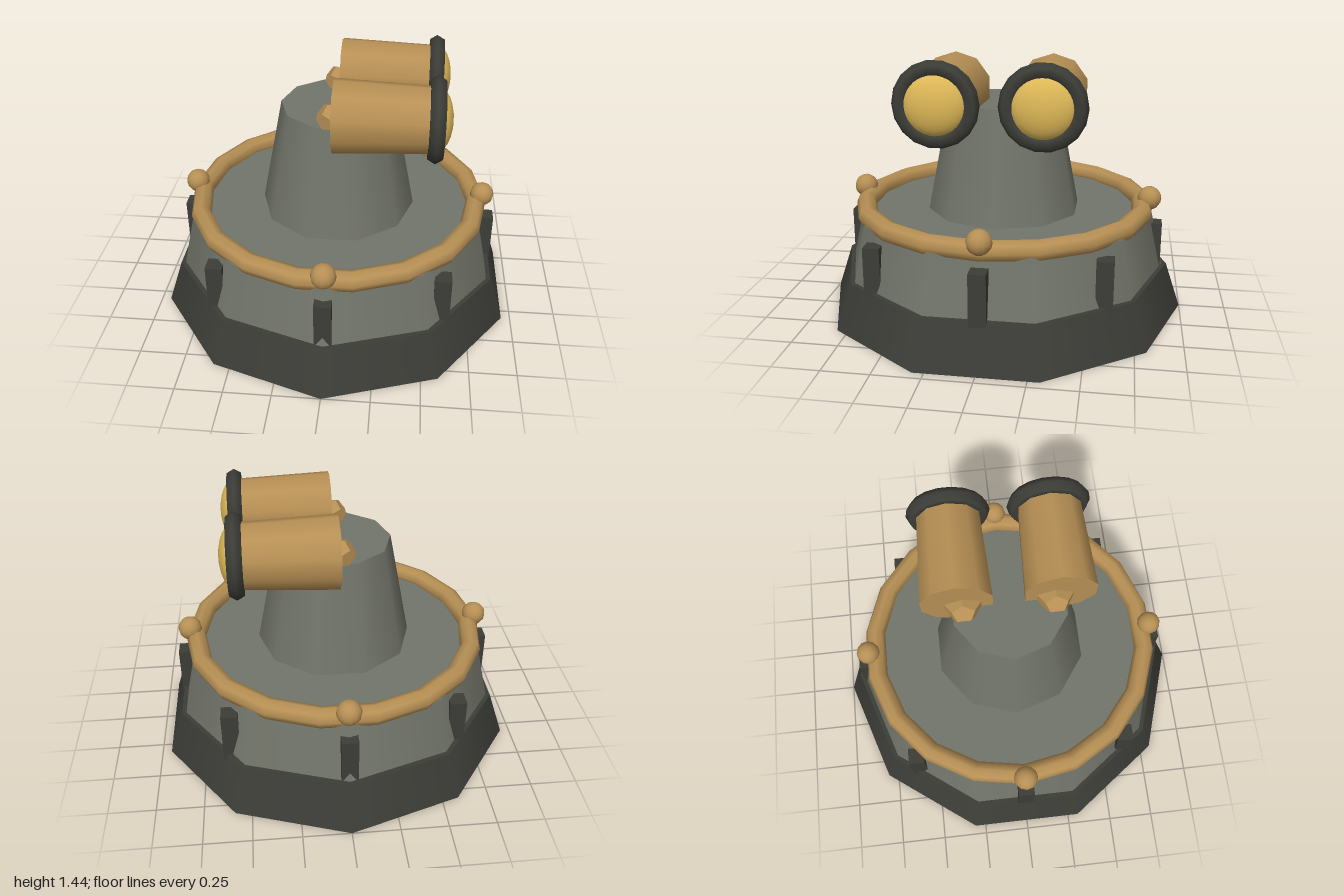
import * as THREE from 'three';

export function createModel() {
  const root = new THREE.Group();
  root.name = 'twinLampTurret';

  const mat = (name, color, flatShading = false) => {
    const m = new THREE.MeshStandardMaterial({ color, flatShading });
    m.name = name;
    return m;
  };
  const iron = mat('darkIron', 0x3c3d37);
  const stone = mat('greyStone', 0x72756a);
  const brass = mat('brass', 0xb68f54);
  const glass = mat('amberGlass', 0xdfb958);

  const add = (parent, name, geometry, material, x = 0, y = 0, z = 0) => {
    const mesh = new THREE.Mesh(geometry, material);
    mesh.name = name;
    mesh.position.set(x, y, z);
    parent.add(mesh);
    return mesh;
  };

  // Tapered ten-sided tiers
  const tier = (name, rTop, rBottom, y0, y1, material) =>
    add(root, name, new THREE.CylinderGeometry(rTop, rBottom, y1 - y0, 10),
      material, 0, (y0 + y1) / 2, 0);
  tier('base', 0.915, 1, 0, 0.25, iron);
  tier('body', 0.82, 0.89, 0.25, 0.555, stone);
  tier('tower', 0.305, 0.425, 0.55, 1.16, stone).rotation.y = Math.PI / 2;

  // Square buttresses around the body
  const buttressGeometry = new THREE.BoxGeometry(0.088, 0.295, 0.088);
  for (let i = 0; i < 8; i++) {
    const a = (i * Math.PI) / 4;
    add(root, 'buttress', buttressGeometry, iron, Math.cos(a) * 0.835, 0.3475, Math.sin(a) * 0.835);
  }

  // Railing with four ball finials
  add(root, 'railing', new THREE.TorusGeometry(0.775, 0.055, 8, 18), brass, 0, 0.575, 0)
    .rotation.x = Math.PI / 2;
  const ballGeometry = new THREE.SphereGeometry(0.065, 12, 8);
  for (let i = 0; i < 4; i++) {
    const a = (i * Math.PI) / 2;
    add(root, 'railBall', ballGeometry, brass, Math.cos(a) * 0.805, 0.63, Math.sin(a) * 0.805);
  }

  // Pair of lamps pointing along +x
  const barrelGeometry = new THREE.CylinderGeometry(0.17, 0.192, 0.5, 10)
    .rotateY(Math.PI / 2).rotateZ(-Math.PI / 2);
  const rimGeometry = new THREE.TorusGeometry(0.177, 0.044, 6, 18).rotateY(Math.PI / 2);
  const lensGeometry = new THREE.SphereGeometry(0.165, 18, 12).rotateZ(Math.PI / 2).scale(0.5, 1, 1);
  const knobGeometry = new THREE.DodecahedronGeometry(0.1).scale(0.95, 0.72, 1);
  for (const side of [1, -1]) {
    const lamp = new THREE.Group();
    lamp.name = side > 0 ? 'frontLamp' : 'backLamp';
    lamp.position.set(0, 1.22, side * 0.265);
    root.add(lamp);
    add(lamp, 'barrel', barrelGeometry, brass, 0.25);
    add(lamp, 'rim', rimGeometry, iron, 0.515);
    add(lamp, 'lens', lensGeometry, glass, 0.515);
    add(lamp, 'rearKnob', knobGeometry, brass, 0, -0.025, -side * 0.03);
  }

  return root;
}
